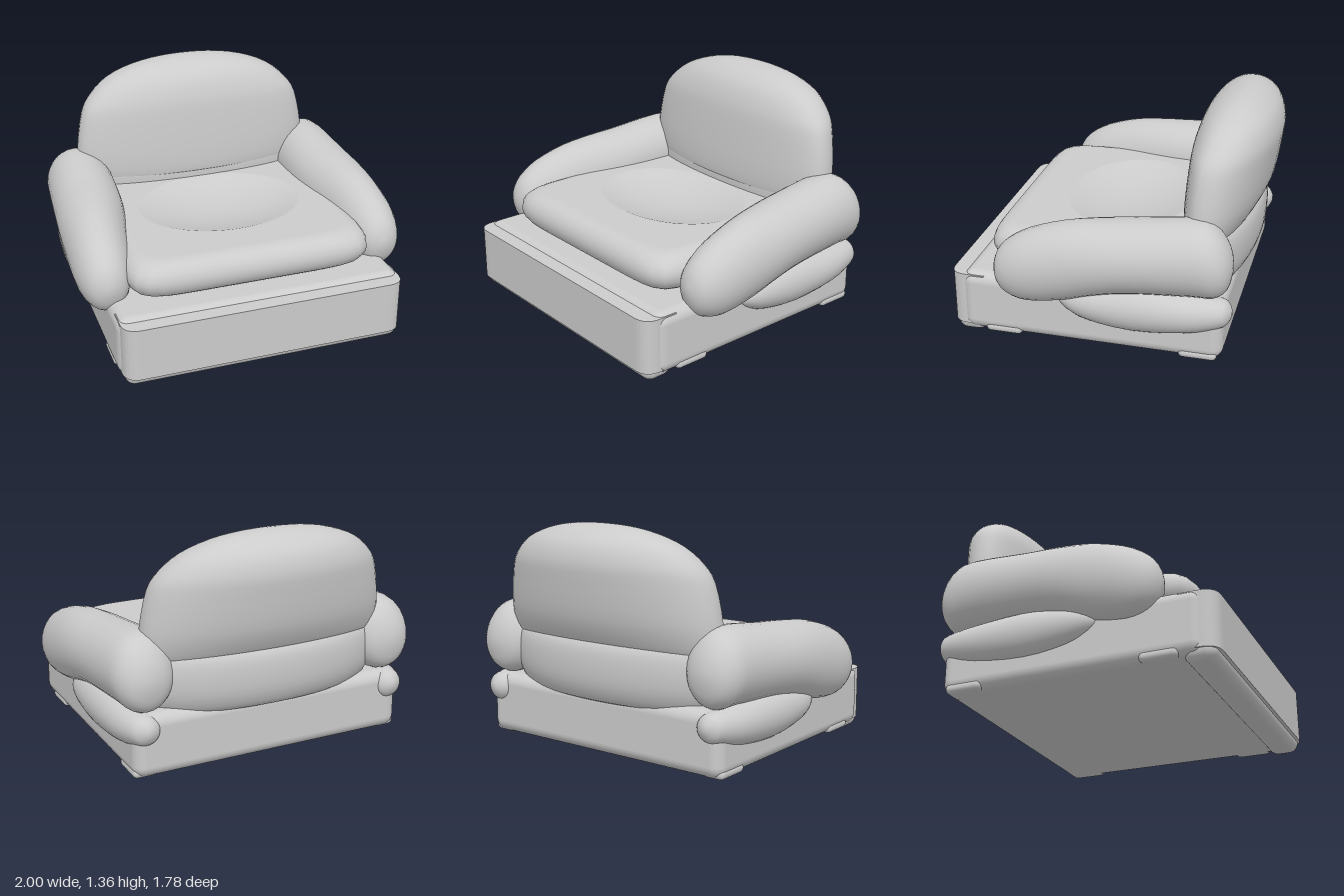
import * as THREE from 'three';
import { RoundedBoxGeometry } from 'three/addons/geometries/RoundedBoxGeometry.js';

const material = new THREE.MeshStandardMaterial({ color: 0xcccccc });

// Smoothly interpolates rows of numbers, adding steps between each pair.
function resample(rows, steps) {
  const out = [];
  for (let i = 0; i < rows.length - 1; i++) {
    const [a, b, c, d] = [-1, 0, 1, 2].map(
      (k) => rows[THREE.MathUtils.clamp(i + k, 0, rows.length - 1)]);
    for (let s = 0; s < steps; s++) {
      const t = s / steps;
      out.push(b.map((p, k) => p + 0.5 * t * (c[k] - a[k] +
        t * (2 * a[k] - 5 * p + 4 * c[k] - d[k] + t * (3 * (p - c[k]) + d[k] - a[k])))));
    }
  }
  out.push(rows[rows.length - 1]);
  return out;
}

// Skins closed rings of points and caps both ends.
function loft(rings) {
  const n = rings[0].length;
  const pos = rings.flat(2);
  const index = [];
  for (let i = 0; i < rings.length - 1; i++) {
    for (let j = 0; j < n; j++) {
      const a = i * n + j, b = i * n + (j + 1) % n;
      index.push(a, b, b + n, a, b + n, a + n);
    }
  }
  [0, rings.length - 1].forEach((r, end) => {
    const centre = pos.length / 3;
    for (let k = 0; k < 3; k++) pos.push(rings[r].reduce((sum, p) => sum + p[k], 0) / n);
    for (let j = 0; j < n; j++) {
      const a = r * n + j, b = r * n + (j + 1) % n;
      if (end) index.push(centre, a, b);
      else index.push(centre, b, a);
    }
  });
  const g = new THREE.BufferGeometry();
  g.setAttribute('position', new THREE.Float32BufferAttribute(pos, 3));
  g.setIndex(index);
  g.computeVertexNormals();
  return g;
}

const around = (n, fn) => Array.from({ length: n }, (_, j) => {
  const t = (j / n) * Math.PI * 2;
  return fn(Math.cos(t), Math.sin(t));
});

// Padded roll running along z; rows are [z, centreX, halfWidth, bottom, top].
function roll(rows, side) {
  return loft(resample(rows, 3).map(([z, cx, rx, lo, hi]) =>
    around(28, (c, s) => [side * cx + rx * c, (lo + hi) / 2 + (hi - lo) / 2 * s, z])));
}

export function createModel() {
  const group = new THREE.Group();
  const add = (name, geometry, x = 0, y = 0, z = 0) => {
    const mesh = new THREE.Mesh(geometry, material);
    mesh.name = name;
    mesh.position.set(x, y, z);
    group.add(mesh);
  };

  // Base frame
  add('base', new RoundedBoxGeometry(1.71, 0.37, 1.53, 5, 0.07), 0, 0.215, 0.055);

  // Front panel: flat top, rounded upright corners
  const w = 0.84, back = 0.68, front = 0.89, r = 0.1;
  const plan = new THREE.Shape();
  plan.moveTo(-w, -back);
  plan.lineTo(-w, -front + r);
  plan.quadraticCurveTo(-w, -front, -w + r, -front);
  plan.lineTo(w - r, -front);
  plan.quadraticCurveTo(w, -front, w, -front + r);
  plan.lineTo(w, -back);
  const panel = new THREE.ExtrudeGeometry(plan, { depth: 0.32, bevelEnabled: false, curveSegments: 8 });
  panel.rotateX(-Math.PI / 2);
  add('frontPanel', panel, 0, 0.06, 0);
  add('frontBottomRoll', new RoundedBoxGeometry(1.66, 0.12, 0.18, 4, 0.058), 0, 0.06, 0.78);

  // Seat cushion with an oval hollow; rows are [halfX, halfZ, y, centreZ, squareness]
  const rows = [];
  for (let i = 0; i <= 12; i++) {
    const a = -Math.PI / 2 + (i / 12) * Math.PI;
    const inset = 0.112 * (1 - Math.cos(a));
    rows.push([0.74 - inset, 0.665 - inset, 0.513 + 0.112 * Math.sin(a), 0.045, 9]);
  }
  rows.push([0.62, 0.54, 0.625, 0.045, 8], [0.51, 0.39, 0.625, 0.005, 2]);
  for (let i = 0; i <= 8; i++) {
    const k = 1 - i / 8.3;
    rows.push([0.5 * k, 0.38 * k, 0.625 - 0.075 * (1 - k * k), 0.005, 2]);
  }
  add('seatCushion', loft(rows.map(([hx, hz, y, cz, e]) => around(80, (c, s) => {
    const d = (Math.abs(c / hx) ** e + Math.abs(s / hz) ** e) ** (-1 / e);
    return [c * d, y, cz - s * d];
  }))));

  // Backrest rings; rows are [y, halfWidth, frontZ, endZ, backZ]
  const backRing = ([y, hw, zf, ze, zb]) => around(48, (c, s) => [
    hw * c, y, s < 0 ? ze + (zf - ze) * (-s) ** 0.75 : ze + (zb - ze) * s]);
  add('backrest', loft(resample([
    [0.66, 0.72, -0.38, -0.56, -0.74],
    [0.72, 0.745, -0.375, -0.56, -0.785],
    [0.85, 0.75, -0.38, -0.56, -0.845],
    [1.06, 0.71, -0.40, -0.575, -0.88],
    [1.16, 0.65, -0.42, -0.6, -0.885],
    [1.25, 0.54, -0.46, -0.63, -0.855],
    [1.31, 0.39, -0.52, -0.65, -0.795],
    [1.345, 0.22, -0.59, -0.66, -0.73],
    [1.357, 0.04, -0.65, -0.66, -0.67],
  ], 3).map(backRing)));
  add('lowerBackRoll', loft(resample([
    [0.34, 0.66, -0.42, -0.5, -0.70],
    [0.37, 0.69, -0.4, -0.52, -0.75],
    [0.46, 0.72, -0.38, -0.55, -0.79],
    [0.58, 0.73, -0.38, -0.56, -0.80],
    [0.68, 0.72, -0.38, -0.55, -0.785],
    [0.74, 0.68, -0.40, -0.53, -0.73],
  ], 3).map(backRing)));

  for (const side of [1, -1]) {
    const tag = side > 0 ? 'left' : 'right';

    // Arm
    add(tag + 'Arm', roll([
      [-0.745, 0.775, 0.03, 0.56, 0.62],
      [-0.72, 0.77, 0.11, 0.46, 0.71],
      [-0.65, 0.765, 0.17, 0.405, 0.805],
      [-0.53, 0.757, 0.2, 0.40, 0.845],
      [-0.2, 0.775, 0.21, 0.385, 0.815],
      [0.0, 0.795, 0.203, 0.355, 0.80],
      [0.2, 0.815, 0.186, 0.305, 0.775],
      [0.4, 0.83, 0.165, 0.28, 0.715],
      [0.52, 0.835, 0.13, 0.31, 0.645],
      [0.58, 0.835, 0.085, 0.37, 0.575],
      [0.605, 0.835, 0.02, 0.45, 0.50],
    ], side));

    // Padding under the arm
    add(tag + 'ArmUnderside', roll([
      [-0.752, 0.785, 0.015, 0.30, 0.335],
      [-0.73, 0.785, 0.06, 0.255, 0.375],
      [-0.68, 0.79, 0.09, 0.225, 0.40],
      [-0.5, 0.795, 0.125, 0.178, 0.42],
      [-0.2, 0.8, 0.135, 0.153, 0.44],
      [0.05, 0.8, 0.125, 0.185, 0.42],
      [0.18, 0.8, 0.09, 0.24, 0.38],
      [0.26, 0.8, 0.02, 0.3, 0.33],
    ], side));

    // Feet
    for (const z of [0.57, -0.57]) {
      add(tag + (z > 0 ? 'Front' : 'Rear') + 'Foot',
        new RoundedBoxGeometry(0.14, 0.058, 0.22, 3, 0.028), side * 0.785, 0.057, z);
    }
  }
  return group;
}
